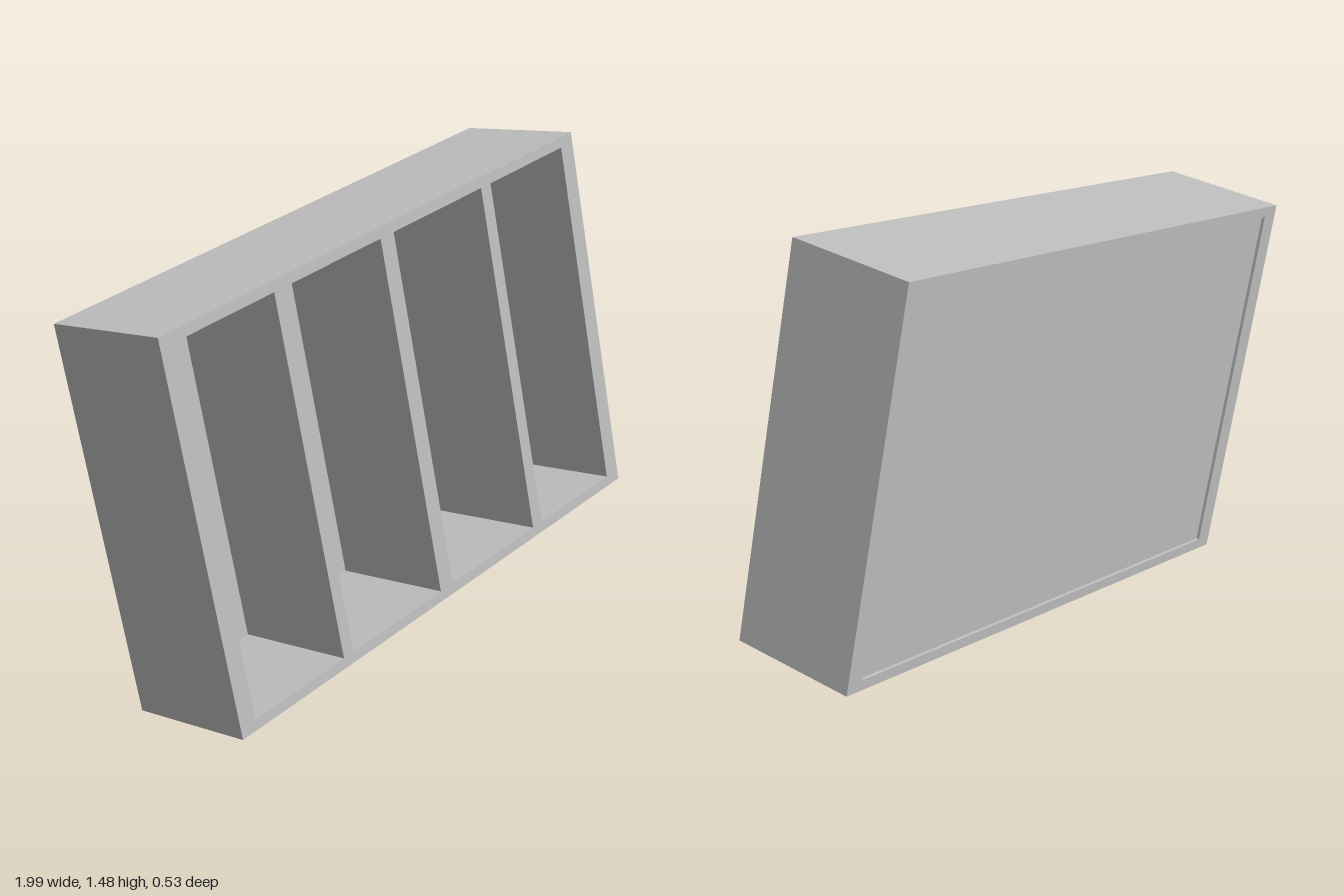
import * as THREE from 'three';

export function createModel() {
  const model = new THREE.Group();
  const grey = new THREE.MeshStandardMaterial({ color: 0xc0c0c0 });
  grey.name = 'light grey';

  const W = 1.815, H = 1.174, D = 0.4;   // outer size of the case
  const board = 0.032;                   // top and bottom thickness
  const recess = 0.01, panel = 0.008;    // thin back panel, set in slightly

  const shelfUnit = new THREE.Group();
  shelfUnit.name = 'shelfUnit';
  model.add(shelfUnit);

  // Box given by its lower and upper corners, measured from the lower left back corner
  function addBox(name, x0, x1, y0, y1, z0, z1) {
    const mesh = new THREE.Mesh(new THREE.BoxGeometry(x1 - x0, y1 - y0, z1 - z0), grey);
    mesh.position.set((x0 + x1 - W) / 2, (y0 + y1 - H) / 2, (z0 + z1 - D) / 2);
    mesh.name = name;
    shelfUnit.add(mesh);
  }

  // Front frame with four openings, extruded through to the back panel
  const openings = [[0.059, 0.434], [0.476, 0.882], [0.94, 1.349], [1.395, 1.756]];
  const first = openings[0][0], last = openings[3][1];
  const rect = (path, x0, y0, x1, y1) =>
    path.moveTo(x0, y0).lineTo(x1, y0).lineTo(x1, y1).lineTo(x0, y1).closePath();

  function addFrame(name, holes, z0, z1) {
    const shape = rect(new THREE.Shape(), 0, 0, W, H);
    for (const [x0, x1] of holes) shape.holes.push(rect(new THREE.Path(), x0, board, x1, H - board));
    const geometry = new THREE.ExtrudeGeometry(shape, { depth: z1 - z0, bevelEnabled: false });
    geometry.translate(-W / 2, -H / 2, z0 - D / 2);
    const mesh = new THREE.Mesh(geometry, grey);
    mesh.name = name;
    shelfUnit.add(mesh);
  }
  addFrame('outerCase', [[first, last]], 0, D);

  // Dividers between neighbouring openings
  for (let i = 0; i < openings.length - 1; i++) {
    addBox('divider' + (i + 1), openings[i][1], openings[i + 1][0], board, H - board, recess + panel, D);
  }

  addBox('backPanel', first, last, board, H - board, recess, recess + panel);

  // The whole unit leans: width axis, height axis and depth axis
  const u = new THREE.Vector3(0.986, 0.165, 0.0225).normalize();
  const v = new THREE.Vector3(-0.166, 0.983, -0.08);
  v.addScaledVector(u, -v.dot(u)).normalize();
  const w = new THREE.Vector3().crossVectors(u, v);
  shelfUnit.quaternion.setFromRotationMatrix(new THREE.Matrix4().makeBasis(u, v, w));
  shelfUnit.position.y = (W * Math.abs(u.y) + H * Math.abs(v.y) + D * Math.abs(w.y)) / 2;

  return model;
}
